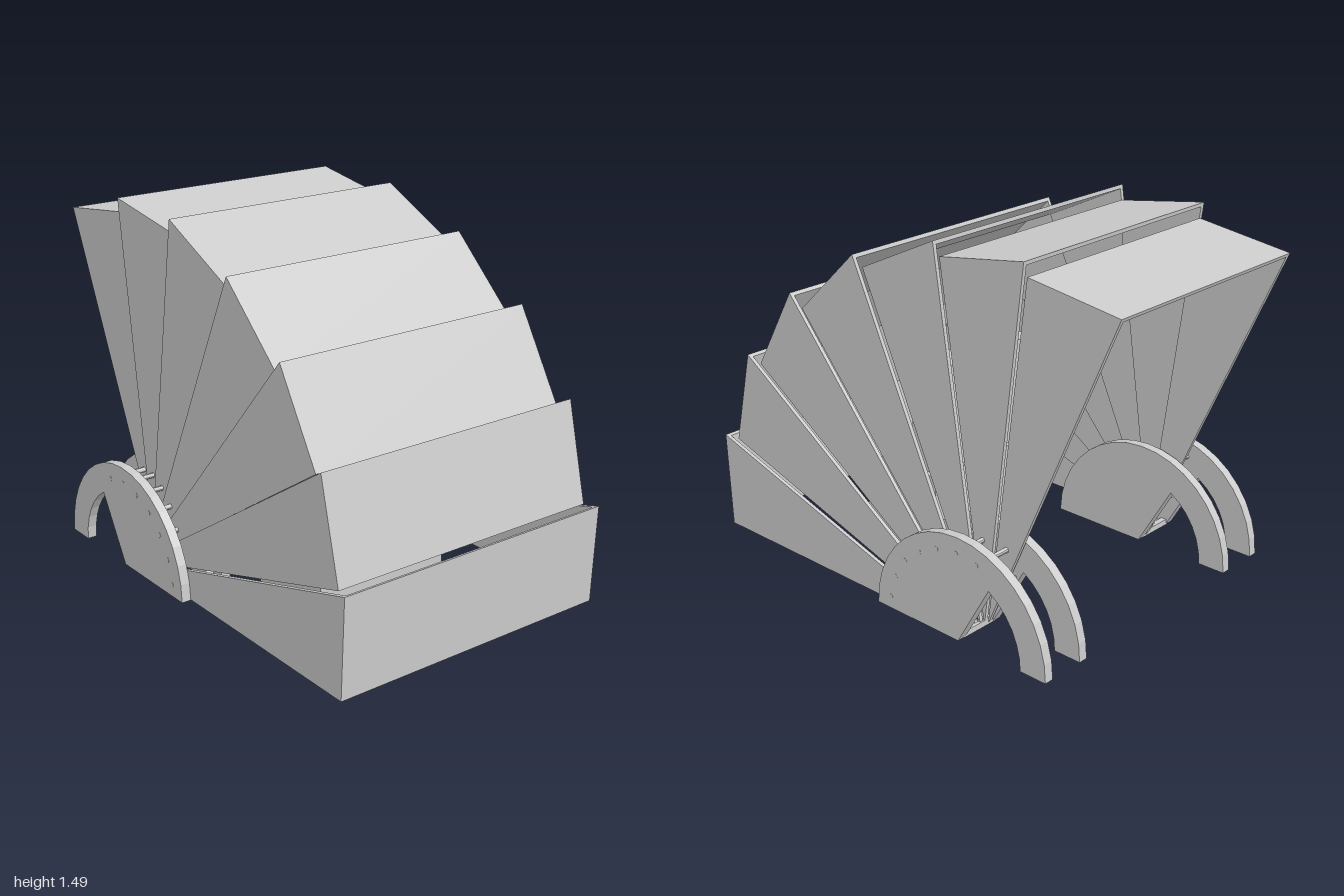
import * as THREE from 'three';

const material = new THREE.MeshStandardMaterial({ color: 0xcccccc, flatShading: true, side: THREE.DoubleSide });
const PIVOT_Z = -0.403;
const WALL = 0.016;

// Extrudes a (z, y) outline across x from x0 to x1.
function slab(name, points, x0, x1) {
  const shape = new THREE.Shape(points.map(([z, y]) => new THREE.Vector2(z, y)));
  const geometry = new THREE.ExtrudeGeometry(shape, { depth: x1 - x0, bevelEnabled: false });
  geometry.rotateY(-Math.PI / 2).translate(x1, 0, 0);
  const mesh = new THREE.Mesh(geometry, material);
  mesh.name = name;
  return mesh;
}

// Points along an arc around the pivot, angles in degrees from the front.
function arc(radius, from, to, steps) {
  return Array.from({ length: steps + 1 }, (_, i) => {
    const a = THREE.MathUtils.degToRad(from + ((to - from) * i) / steps);
    return [PIVOT_Z + radius * Math.cos(a), radius * Math.sin(a)];
  });
}

function box(name, w, h, d, x, y, z) {
  const mesh = new THREE.Mesh(new THREE.BoxGeometry(w, h, d), material);
  mesh.position.set(x, y, z);
  mesh.name = name;
  return mesh;
}

export function createModel() {
  const model = new THREE.Group();
  model.name = 'foldingCanopy';
  const pivot = [PIVOT_Z, 0];

  // Nested canopy segments: lower and upper outer corners as [z, y].
  const corners = [
    [[0.985, 0], [1.0, 0.412]],
    [[0.94, 0.405], [0.84, 0.81]],
    [[0.785, 0.78], [0.578, 1.13]],
    [[0.53, 1.072], [0.228, 1.355]],
    [[0.195, 1.308], [-0.178, 1.485]],
    [[-0.19, 1.425], [-0.592, 1.49]],
    [[-0.59, 1.43], [-1.0, 1.375]],
  ];
  corners.forEach(([low, high], i) => {
    const segment = new THREE.Group();
    segment.name = `canopySegment${i + 1}`;
    const half = 0.624 - i * 0.0205;
    const inward = ([z, y]) => {
      const k = 1 - WALL / Math.hypot(z - PIVOT_Z, y);
      return [PIVOT_Z + (z - PIVOT_Z) * k, y * k];
    };
    segment.add(slab('outerPanel', [low, high, inward(high), inward(low)], -half, half));
    segment.add(slab('rightSidePanel', [pivot, low, high], -half, -half + WALL));
    segment.add(slab('leftSidePanel', [pivot, low, high], half - WALL, half));
    model.add(segment);
  });

  // Hub plates with a hooked rear leg, one inside and one outside the panels.
  const hub = [...arc(0.433, 0, 180, 18), ...arc(0.312, 180, 120, 6), pivot];
  for (const side of [-1, 1]) {
    for (const [name, x, w] of [['outerHubPlate', 0.646, 0.04], ['innerHubPlate', 0.455, 0.04]]) {
      model.add(slab(name, hub, side * x - w / 2, side * x + w / 2));
    }
    // Pivot rods joining the two plates, one per segment.
    arc(0.365, 8, 105, 6).forEach(([z, y]) => {
      const rod = new THREE.Mesh(new THREE.CylinderGeometry(0.011, 0.011, 0.23, 10), material);
      rod.rotation.z = Math.PI / 2;
      rod.position.set(side * 0.552, y, z);
      rod.name = 'pivotRod';
      model.add(rod);
    });
    // Bars tying the plates together near the pivot.
    model.add(box('lowerTieBar', 0.17, 0.025, 0.025, side * 0.55, 0.0125, PIVOT_Z + 0.01));
    model.add(box('upperTieBar', 0.17, 0.025, 0.025, side * 0.55, 0.23, PIVOT_Z - 0.11));
  }

  // Seat inside the canopy.
  const seat = new THREE.Group();
  seat.name = 'seat';
  seat.add(box('seatBase', 0.62, 0.4, 0.4, 0, 0.2, 0.26));
  seat.add(box('backrest', 0.57, 0.45, 0.13, 0, 0.62, 0.145));
  model.add(seat);

  return model;
}
